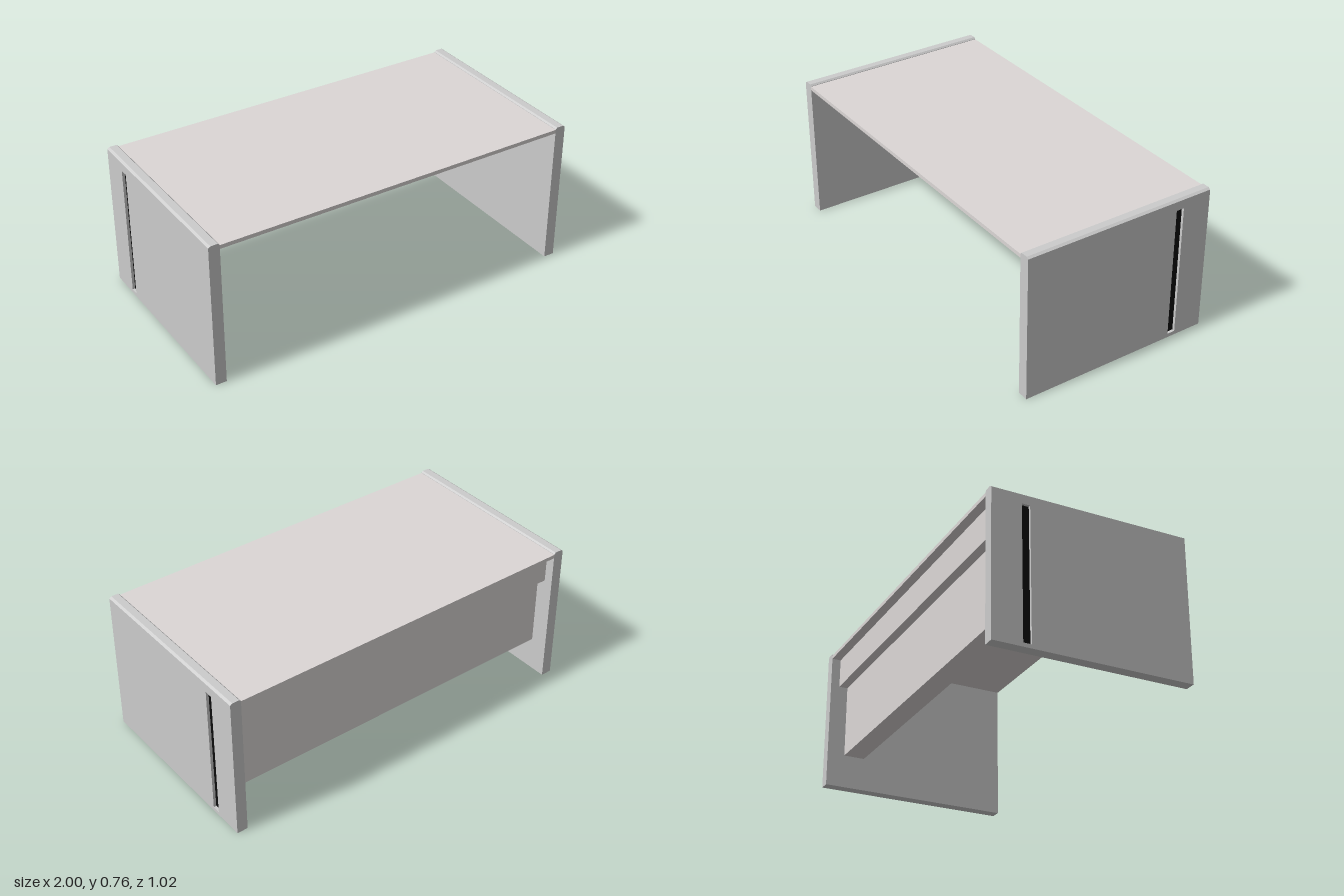
import * as THREE from 'three';

const HALF_DEPTH = 0.51;
const INNER = 0.943;     // inner face of the side panels
const GROOVE_X = 0.985;  // floor of the outer groove
const SHOULDER = 0.757;  // height where the bevelled cap begins

const grey = new THREE.MeshStandardMaterial({ color: 0xcccccc });
const warm = new THREE.MeshStandardMaterial({ color: 0xdcd7d6 });
const black = new THREE.MeshStandardMaterial({ color: 0x0c0c0c });

// Box given by its limits on each axis
function slab(name, [x0, x1], [y0, y1], [z0, z1], material) {
  const mesh = new THREE.Mesh(new THREE.BoxGeometry(x1 - x0, y1 - y0, z1 - z0), material);
  mesh.position.set((x0 + x1) / 2, (y0 + y1) / 2, (z0 + z1) / 2);
  mesh.name = name;
  return mesh;
}

function polygon(points, Type = THREE.Shape) {
  return new Type(points.map(([x, y]) => new THREE.Vector2(x, y)));
}

function sidePanel(side) {
  const panel = new THREE.Group();
  panel.name = side > 0 ? 'leftSidePanel' : 'rightSidePanel';
  const span = (a, b) => (side > 0 ? [a, b] : [-b, -a]);

  panel.add(slab('panelCore', span(INNER, GROOVE_X), [0, SHOULDER], [-HALF_DEPTH, HALF_DEPTH], grey));

  // Outer layer with the vertical slot cut out
  const face = polygon([[-HALF_DEPTH, 0], [HALF_DEPTH, 0], [HALF_DEPTH, SHOULDER], [-HALF_DEPTH, SHOULDER]]);
  face.holes.push(polygon([[0.315, 0.02], [0.315, 0.71], [0.357, 0.71], [0.357, 0.02]], THREE.Path));
  const skinGeometry = new THREE.ExtrudeGeometry(face, { depth: 1 - GROOVE_X, bevelEnabled: false });
  skinGeometry.rotateY(Math.PI / 2);
  const skin = new THREE.Mesh(skinGeometry, grey);
  skin.position.x = side > 0 ? GROOVE_X : -1;
  skin.name = 'panelOuterLayer';
  panel.add(skin);

  // Black strip at the bottom of the slot
  panel.add(slab('grooveInlay', span(0.98, 0.986), [0.02, 0.71], [-0.357, -0.315], black));

  // Bevelled top edge
  const profile = polygon([[INNER, SHOULDER], [1, SHOULDER], [0.988, 0.765], [0.951, 0.765]]
    .map(([x, y]) => [x * side, y]));
  const cap = new THREE.Mesh(
    new THREE.ExtrudeGeometry(profile, { depth: HALF_DEPTH * 2, bevelEnabled: false }), grey);
  cap.position.z = -HALF_DEPTH;
  cap.name = 'panelCap';
  panel.add(cap);
  return panel;
}

export function createModel() {
  const desk = new THREE.Group();
  desk.name = 'desk';
  const width = [-INNER, INNER];

  for (const side of [-1, 1]) desk.add(sidePanel(side));
  desk.add(slab('deskTop', width, [0.735, 0.755], [-HALF_DEPTH, HALF_DEPTH], warm));
  // Thick back panel and the rail behind its upper edge
  desk.add(slab('modestyPanel', width, [0.18, 0.735], [-0.415, -0.302], warm));
  desk.add(slab('backRail', width, [0.576, 0.735], [-0.462, -0.415], warm));
  return desk;
}
